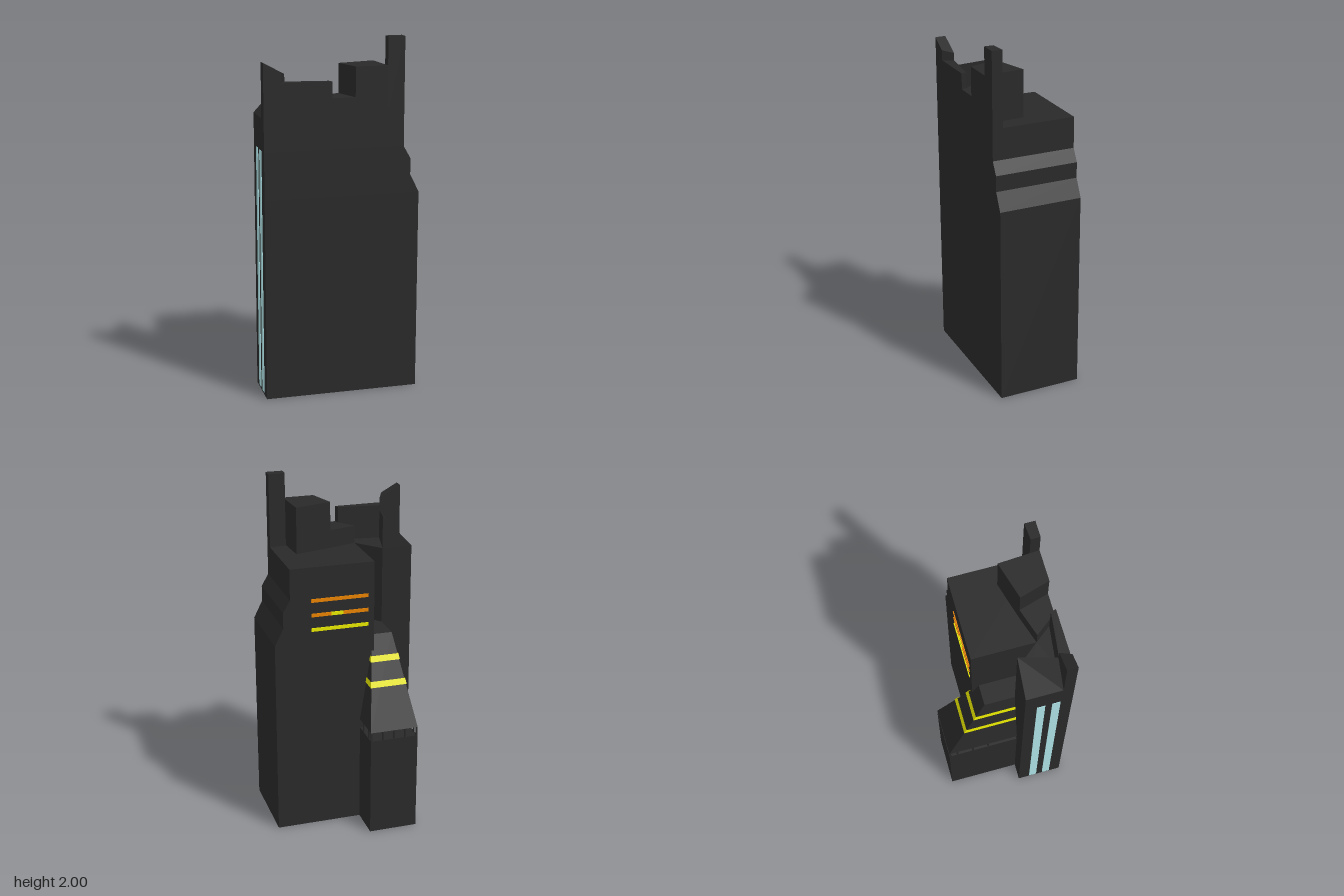
import * as THREE from 'three';

const material = (name, color) => {
  const m = new THREE.MeshStandardMaterial({ color, side: THREE.DoubleSide });
  m.name = name;
  return m;
};

// Walls through stacked closed loops of [x, y, z], with optional end caps; faceted normals.
function loft(loops, { top = true, bottom = false } = {}) {
  const flat = (loop) => loop.map(([x, , z]) => new THREE.Vector2(x, -z));
  if (THREE.ShapeUtils.area(flat(loops[0])) < 0) loops = loops.map((l) => [...l].reverse());
  const pos = [];
  const tri = (...pts) => pts.forEach((p) => pos.push(...p));
  for (let k = 0; k + 1 < loops.length; k++) {
    const lo = loops[k], hi = loops[k + 1];
    lo.forEach((a, i) => {
      const j = (i + 1) % lo.length;
      tri(a, lo[j], hi[j]);
      tri(a, hi[j], hi[i]);
    });
  }
  const cap = (loop, up) => {
    for (const [a, b, c] of THREE.ShapeUtils.triangulateShape(flat(loop), [])) {
      if (up) tri(loop[a], loop[b], loop[c]);
      else tri(loop[a], loop[c], loop[b]);
    }
  };
  if (top) cap(loops[loops.length - 1], true);
  if (bottom) cap(loops[0], false);
  const g = new THREE.BufferGeometry();
  g.setAttribute('position', new THREE.Float32BufferAttribute(pos, 3));
  g.computeVertexNormals();
  return g;
}

// Upright block on a plan of [x, z, topHeight]
const block = (plan, base) =>
  loft([plan.map(([x, z]) => [x, base, z]), plan.map(([x, z, h]) => [x, h, z])]);

export function createModel() {
  const model = new THREE.Group();
  model.name = 'skyscraper';
  const dark = material('dark facade', 0x292929);
  const yellow = material('yellow light', 0xffff00);
  const orange = material('orange light', 0xff9000);
  const cyan = material('pale cyan light', 0xb8f0f4);

  const add = (name, geometry, mat, parent = model) => {
    const mesh = new THREE.Mesh(geometry, mat);
    mesh.name = name;
    parent.add(mesh);
    return mesh;
  };
  const box = (name, x0, x1, y0, y1, z0, z1, mat, parent) =>
    add(name, new THREE.BoxGeometry(x1 - x0, y1 - y0, z1 - z0), mat, parent)
      .position.set((x0 + x1) / 2, (y0 + y1) / 2, (z0 + z1) / 2);

  // Main shell, open underneath, stepping in along its left side
  const shell = ([right, y]) => [
    [right, y, -0.14], [-0.14, y, -0.14], [-0.14, y, 0.22], [-0.26, y, 0.075],
    [-0.435, y, 0.075], [-0.435, y, 0.34], [right, y, 0.34],
  ];
  const steps = [[0.435, 0], [0.435, 1.14], [0.385, 1.24], [0.385, 1.33], [0.345, 1.4], [0.345, 1.577]];
  add('mainBuilding', loft(steps.map(shell)), dark);

  // Broken skyline of angular roof blocks
  const skyline = new THREE.Group();
  skyline.name = 'skyline';
  model.add(skyline);
  const blocks = {
    slopedRoof: [[-0.26, 0.075, 1.765], [-0.435, 0.075, 1.578], [-0.435, 0.28, 1.578], [-0.31, 0.28, 1.74]],
    cornerFin: [[-0.435, 0.28, 1.88], [-0.435, 0.34, 1.88], [-0.34, 0.34, 1.828], [-0.31, 0.28, 1.812]],
    frontParapet: [[-0.31, 0.28, 1.77], [-0.34, 0.34, 1.77], [-0.06, 0.34, 1.77], [-0.07, 0.31, 1.77]],
    lowBlock: [[-0.14, 0.22, 1.68], [-0.07, 0.31, 1.68], [-0.06, 0.34, 1.68], [0.07, 0.34, 1.68], [0.02, 0.17, 1.68]],
    tallBlock: [[0.02, 0.17, 1.845], [0.07, 0.34, 1.845], [0.25, 0.34, 1.845], [0.235, 0.11, 1.845]],
    pinnacle: [[0.25, 0.287, 2], [0.25, 0.34, 2], [0.345, 0.34, 2], [0.345, 0.28, 2]],
  };
  for (const [name, plan] of Object.entries(blocks)) add(name, block(plan, 1.577), dark, skyline);

  // Rear annex body, open underneath
  const annex = new THREE.Group();
  annex.name = 'annex';
  model.add(annex);
  add('annexBody', block([
    [-0.06, -0.34, 0.58], [-0.06, -0.139, 0.58], [-0.139, -0.139, 0.58], [-0.139, 0.219, 0.58],
    [-0.26, 0.076, 0.58], [-0.34, 0.076, 0.58], [-0.34, -0.34, 0.58],
  ], 0), dark, annex);

  // Small posts in the open gap under the annex roof
  for (const x of [-0.335, -0.266, -0.2, -0.134, -0.065])
    box('post', x - 0.005, x + 0.005, 0.58, 0.632, -0.337, -0.329, dark, annex);
  for (const x of [-0.335, -0.065])
    for (const z of [-0.29, -0.195, -0.1])
      box('post', x - 0.004, x + 0.004, 0.58, 0.632, z - 0.005, z + 0.005, dark, annex);

  // Tapering annex roof and the light bands around it
  const roofLoop = (y, out = 0) => {
    const t = (y - 0.632) / 0.5;
    const left = -0.34 + 0.08 * t - out, right = -0.06 - 0.08 * t + out, back = -0.34 + 0.24 * t - out;
    return [[right, y, 0.22], [right, y, back], [left, y, back], [left, y, 0.075]];
  };
  add('annexRoof', loft([roofLoop(0.632), roofLoop(1.132)], { bottom: true }), dark, annex);
  for (const y of [0.86, 0.99])
    add('roofLightBand', loft([roofLoop(y, 0.004), roofLoop(y + 0.032, 0.004)], { top: false }), yellow, annex);

  // Light strips on the rear wall
  const strip = (x0, x1, y, mat) => box('rearLightStrip', x0, x1, y - 0.01, y + 0.01, -0.145, -0.138, mat);
  strip(-0.105, 0.225, 1.385, orange);
  strip(-0.105, 0.04, 1.3, orange);
  strip(0.04, 0.11, 1.3, yellow);
  strip(0.11, 0.225, 1.3, orange);
  strip(-0.105, 0.225, 1.215, yellow);

  // Tall vertical light strips, showing on both faces of the side wall
  for (const z of [0.165, 0.25])
    box('verticalLightStrip', -0.438, -0.431, 0.015, 1.4, z - 0.023, z + 0.023, cyan);

  return model;
}
